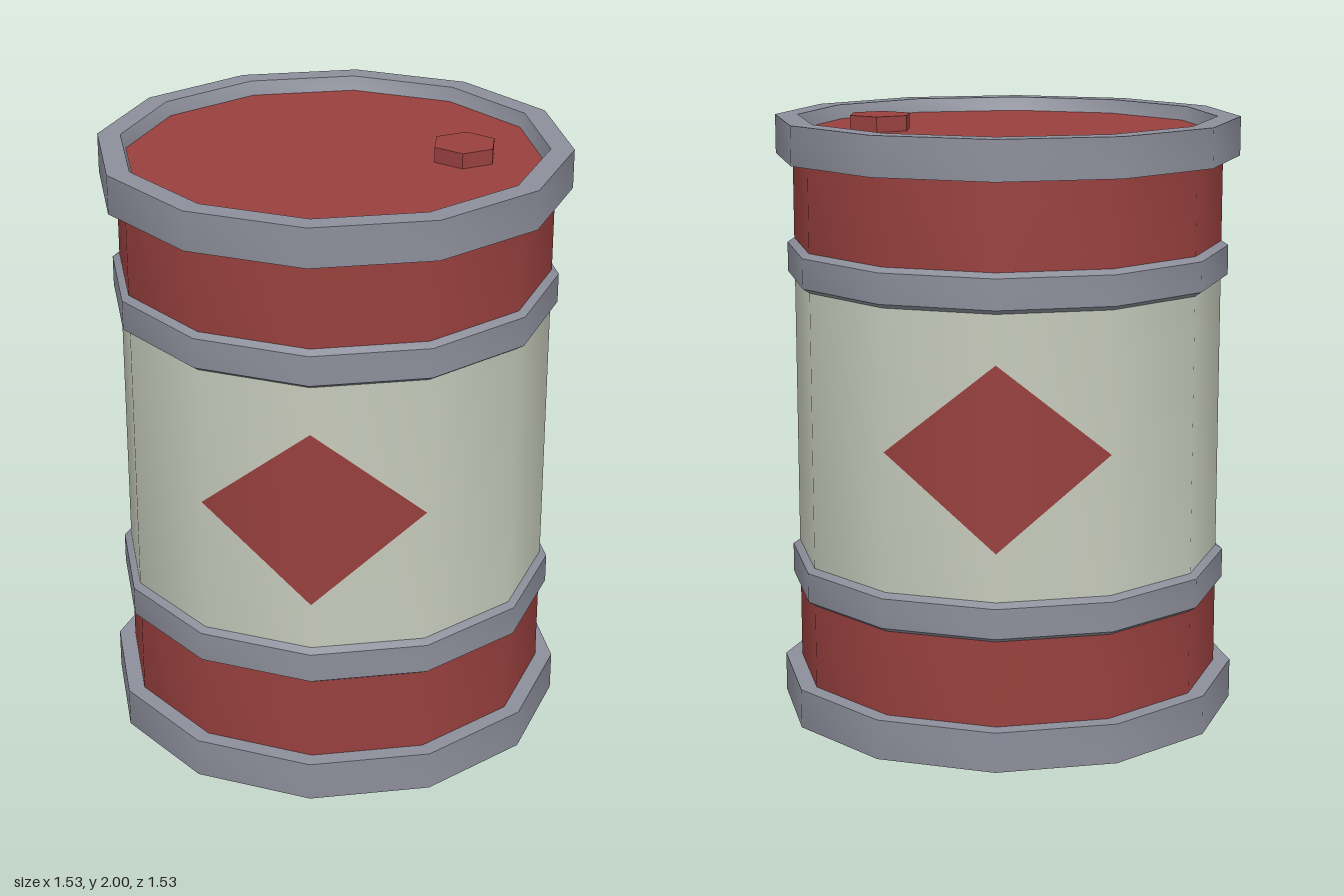
import * as THREE from 'three';
import { toCreasedNormals } from 'three/addons/utils/BufferGeometryUtils.js';

const SIDES = 12;
const BODY_R = 0.711;

export function createModel() {
  const group = new THREE.Group();
  const red = new THREE.MeshStandardMaterial({ color: 0x98403e });
  const cream = new THREE.MeshStandardMaterial({ color: 0xc6cabb });
  const steel = new THREE.MeshStandardMaterial({ color: 0x8c8e9a });

  const add = (name, geometry, material) => {
    const mesh = new THREE.Mesh(geometry, material);
    mesh.name = name;
    group.add(mesh);
    return mesh;
  };
  // Twelve-sided ring from [radius, height] pairs: smooth around, sharp along the profile
  const ring = (name, profile, material) => {
    const points = profile.map(([r, y]) => new THREE.Vector2(r, y));
    return add(name, toCreasedNormals(new THREE.LatheGeometry(points, SIDES), 0.7), material);
  };

  // Painted wall bands
  ring('lowerWall', [[BODY_R, 0.05], [BODY_R, 0.48]], red);
  ring('middleWall', [[BODY_R, 0.48], [BODY_R, 1.52]], cream);
  ring('upperWall', [[BODY_R, 1.52], [BODY_R, 1.95]], red);

  // Bevelled hoops
  for (const [name, y] of [['lowerHoop', 0.478], ['upperHoop', 1.522]]) {
    ring(name, [[BODY_R, y - 0.064], [0.734, y - 0.049], [0.734, y + 0.049], [BODY_R, y + 0.064]], steel);
  }

  // End rims with sloping inner walls
  ring('bottomRim', [[0.676, 0.05], [0.692, 0], [0.767, 0], [0.767, 0.132], [BODY_R, 0.132]], steel);
  ring('topRim', [[BODY_R, 1.868], [0.767, 1.868], [0.767, 1.996], [0.692, 1.996], [0.676, 1.95]], steel);

  // Recessed end plates, with corners on the same axes as the wall
  const plate = new THREE.CircleGeometry(0.677, SIDES);
  const lid = add('lid', plate, red);
  lid.rotation.x = -Math.PI / 2;
  lid.position.y = 1.95;
  const base = add('base', plate, red);
  base.rotation.x = Math.PI / 2;
  base.position.y = 0.05;

  // Hexagonal bung on the lid
  const bung = add('bung', toCreasedNormals(new THREE.CylinderGeometry(0.107, 0.107, 0.05, 6), 0.7), red);
  bung.position.set(0.417, 1.975, -0.02);

  // Diamond mark folded over the two wall facets either side of a corner
  const r = BODY_R + 0.003;
  const s = Math.sin(Math.PI / 6), c = Math.cos(Math.PI / 6);
  const diamond = new THREE.BufferGeometry();
  diamond.setAttribute('position', new THREE.Float32BufferAttribute(
    [0, 0.7, r, r * s, 1, r * c, 0, 1.3, r, -r * s, 1, r * c], 3));
  diamond.setAttribute('normal', new THREE.Float32BufferAttribute(
    [0, 0, 1, s, 0, c, 0, 0, 1, -s, 0, c], 3));
  diamond.setIndex([0, 1, 2, 0, 2, 3]);
  add('frontDiamond', diamond, red);
  add('backDiamond', diamond, red).rotation.y = Math.PI;

  return group;
}
